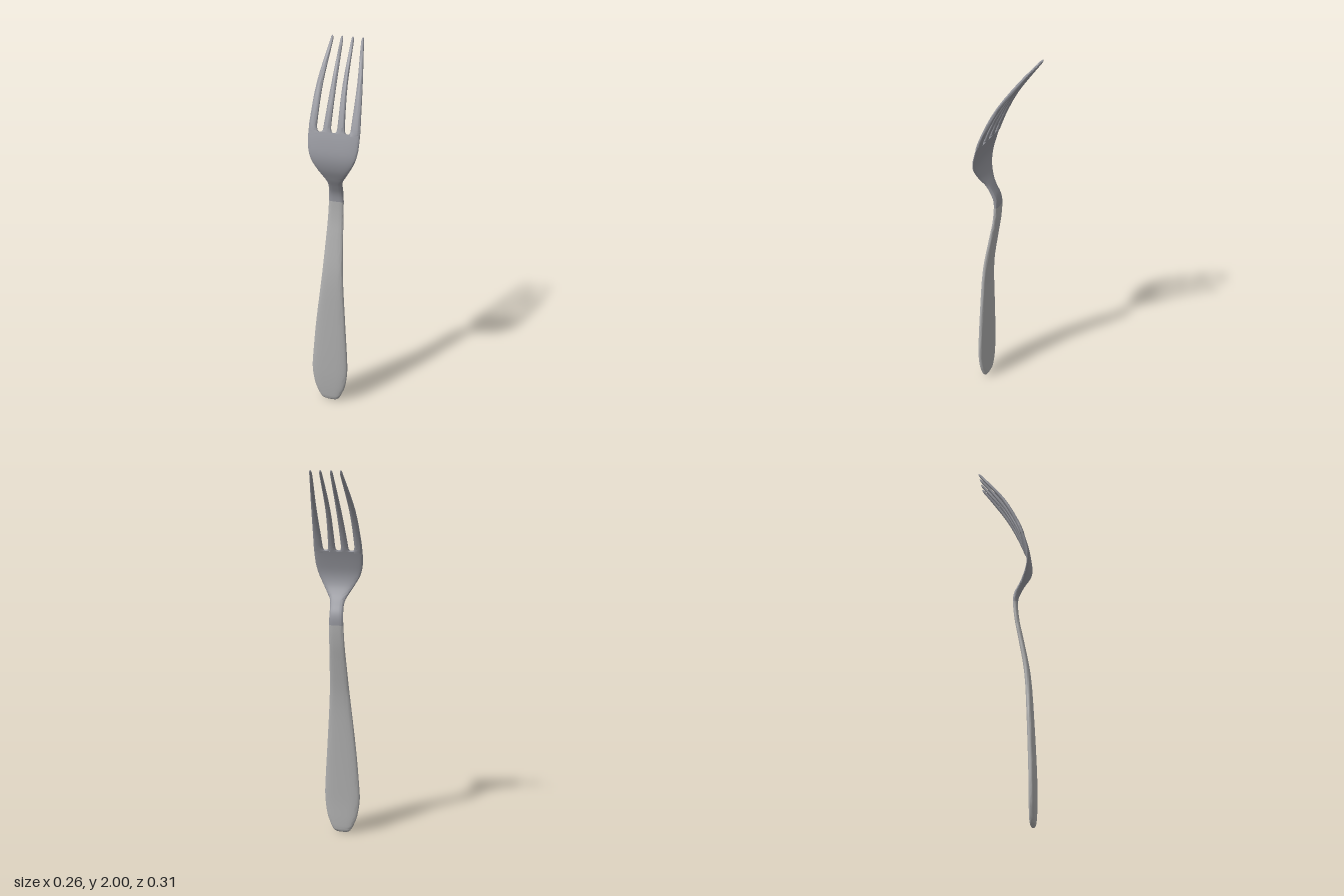
import * as THREE from 'three';
import { toCreasedNormals } from 'three/addons/utils/BufferGeometryUtils.js';

// smooth lookup in rows [y, a, b, ...]: returns column c at height y
function sample(rows, y, c) {
  const n = rows.length;
  let i = 0;
  while (i < n - 2 && y > rows[i + 1][0]) i++;
  const slope = (k) => {
    const a = rows[Math.max(k - 1, 0)], b = rows[Math.min(k + 1, n - 1)];
    return (b[c] - a[c]) / (b[0] - a[0]);
  };
  const p = rows[i], q = rows[i + 1], h = q[0] - p[0];
  const t = (y - p[0]) / h, t2 = t * t, t3 = t2 * t;
  return (2 * t3 - 3 * t2 + 1) * p[c] + (t3 - 2 * t2 + t) * h * slope(i)
    + (3 * t2 - 2 * t3) * q[c] + (t3 - t2) * h * slope(i + 1);
}

// side profile of the whole fork: [y, z]
const spine = [
  [0, 0.132], [0.2, 0.136], [0.6, 0.125], [0.8, 0.113], [1.0, 0.08], [1.1, 0.062],
  [1.2, 0.053], [1.25, 0.058], [1.3, 0.08], [1.35, 0.105], [1.4, 0.125], [1.45, 0.132],
  [1.5, 0.125], [1.6, 0.095], [1.7, 0.053], [1.8, 0], [1.9, -0.07], [2.0, -0.147],
];
const TWIST = 0.075; // slight turn of the fork about its length

// loft of rounded sections along the spine, rows are [y, left x, right x, half thickness]
function loft(rows, power = 3, steps = 4, around = 28) {
  const ys = [];
  for (let i = 0; i < rows.length - 1; i++) {
    for (let s = 0; s < steps; s++) ys.push(rows[i][0] + (rows[i + 1][0] - rows[i][0]) * s / steps);
  }
  ys.push(rows[rows.length - 1][0]);
  const pos = [], index = [];
  const round = (v) => Math.sign(v) * Math.abs(v) ** (2 / power);
  const place = (y, u, v) => {
    const l = sample(rows, y, 1), r = sample(rows, y, 2), t = sample(rows, y, 3);
    const dz = (sample(spine, y + 0.005, 1) - sample(spine, y - 0.005, 1)) / 0.01;
    const len = Math.hypot(1, dz);
    const x = (l + r) / 2 + u * (r - l) / 2;
    pos.push(x, y - v * t * dz / len, sample(spine, y, 1) + v * t / len + TWIST * x);
  };
  for (const y of ys) {
    for (let j = 0; j < around; j++) {
      const a = j / around * Math.PI * 2;
      place(y, round(Math.cos(a)), round(Math.sin(a)));
    }
  }
  for (let i = 0; i < ys.length - 1; i++) {
    for (let j = 0; j < around; j++) {
      const k = (j + 1) % around, a = i * around, b = a + around;
      index.push(a + j, b + j, a + k, a + k, b + j, b + k);
    }
  }
  // end caps
  const bottom = pos.length / 3, last = (ys.length - 1) * around;
  place(ys[0], 0, 0);
  place(ys[ys.length - 1], 0, 0);
  for (let j = 0; j < around; j++) {
    const k = (j + 1) % around;
    index.push(bottom, j, k, bottom + 1, last + k, last + j);
  }
  const g = new THREE.BufferGeometry();
  g.setAttribute('position', new THREE.Float32BufferAttribute(pos, 3));
  g.setIndex(index);
  return toCreasedNormals(g, 0.9);
}

export function createModel() {
  const handleGrey = new THREE.MeshStandardMaterial({ color: 0xb0b0b0 });
  handleGrey.name = 'handle grey';
  const steel = new THREE.MeshStandardMaterial({ color: 0x95969d });
  steel.name = 'steel';

  const fork = new THREE.Group();
  fork.name = 'fork';
  const add = (name, geometry, material) => {
    const mesh = new THREE.Mesh(geometry, material);
    mesh.name = name;
    fork.add(mesh);
  };

  // handle: broad rounded end, narrowing towards the neck
  add('handle', loft([
    [0, -0.045, 0.008, 0.006], [0.006, -0.06, 0.022, 0.011], [0.02, -0.073, 0.035, 0.015],
    [0.05, -0.088, 0.049, 0.017], [0.1, -0.106, 0.067, 0.018], [0.2, -0.12, 0.08, 0.018],
    [0.3, -0.115, 0.078, 0.018], [0.5, -0.098, 0.066, 0.017], [0.8, -0.065, 0.048, 0.015],
    [1.0, -0.05, 0.041, 0.013], [1.1, -0.044, 0.039, 0.012], [1.2, -0.04, 0.038, 0.012],
  ]), handleGrey);

  // neck and shoulders
  add('head', loft([
    [1.2, -0.04, 0.038, 0.012], [1.26, -0.037, 0.037, 0.012], [1.3, -0.036, 0.038, 0.011],
    [1.33, -0.042, 0.043, 0.011], [1.36, -0.059, 0.06, 0.01], [1.4, -0.084, 0.083, 0.01],
    [1.45, -0.113, 0.109, 0.01], [1.5, -0.128, 0.124, 0.01], [1.55, -0.132, 0.129, 0.01],
    [1.585, -0.132, 0.13, 0.01],
  ]), steel);

  // tines: [left, right] edges at root, above the crotch, at mid height and near the tip
  const tines = [
    [[-0.132, -0.074], [-0.131, -0.09], [-0.112, -0.08], [-0.074, -0.06]],
    [[-0.072, -0.004], [-0.056, -0.018], [-0.038, -0.012], [-0.024, -0.01]],
    [[-0.002, 0.066], [0.014, 0.051], [0.019, 0.044], [0.031, 0.045]],
    [[0.067, 0.13], [0.082, 0.13], [0.091, 0.119], [0.082, 0.096]],
  ];
  tines.forEach(([root, base, mid, tip], i) => {
    const c = (tip[0] + tip[1]) / 2;
    const mix = (k, s) => root[k] + (base[k] - root[k]) * s;
    add('tine' + (i + 1), loft([
      [1.575, ...root, 0.0098], [1.583, ...root, 0.0098],
      [1.588, mix(0, 0.5), mix(1, 0.5), 0.0098], [1.597, mix(0, 0.85), mix(1, 0.85), 0.0098],
      [1.615, ...base, 0.0098], [1.8, ...mid, 0.009], [1.98, ...tip, 0.007],
      [1.992, c - 0.005, c + 0.005, 0.005], [1.998, c - 0.002, c + 0.002, 0.002],
    ], 2.6, 4, 20), steel);
  });

  return fork;
}
